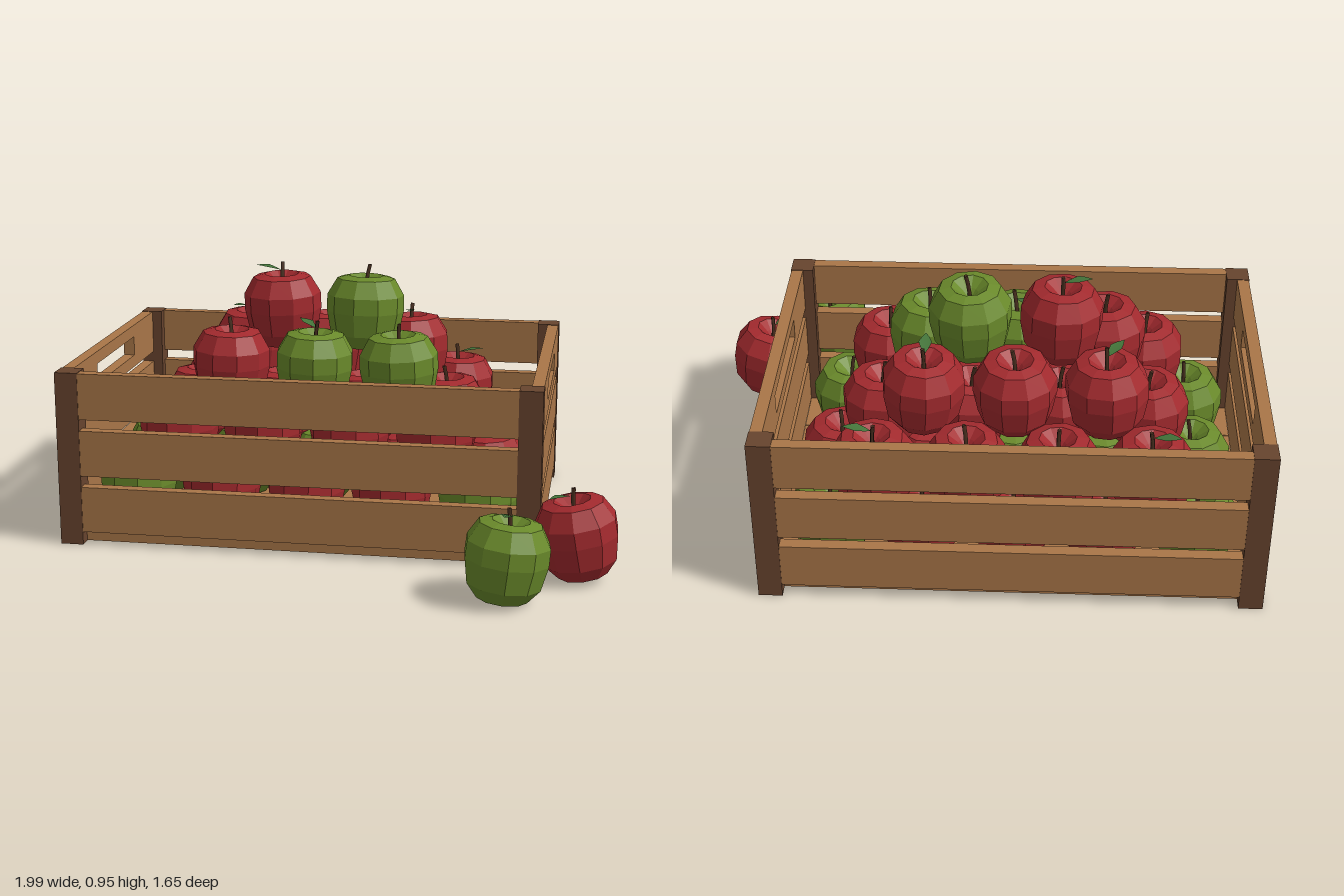
import * as THREE from 'three';

const mat = (name, color, extra = {}) => {
  const m = new THREE.MeshStandardMaterial({ color, ...extra });
  m.name = name;
  return m;
};

export function createModel() {
  const model = new THREE.Group();
  model.name = 'appleCrate';

  const wood = mat('wood', 0xa97648);
  const darkWood = mat('darkWood', 0x67442e);
  const red = mat('redSkin', 0xa32a2e, { flatShading: true });
  const green = mat('greenSkin', 0x6a8a2b, { flatShading: true });
  const stemBrown = mat('stemBrown', 0x4a3020);
  const leafGreen = mat('leafGreen', 0x44753a, { side: THREE.DoubleSide });

  let seed = 7;
  const rand = () => (seed = (seed * 16807) % 2147483647) / 2147483647;

  const add = (parent, name, geometry, material, x = 0, y = 0, z = 0) => {
    const mesh = new THREE.Mesh(geometry, material);
    mesh.name = name;
    mesh.position.set(x, y, z);
    parent.add(mesh);
    return mesh;
  };

  // Crate, centred on its own footprint
  const W = 1.725, D = 1.195, H = 0.637, post = 0.083, t = 0.043;
  const slatH = 0.168, pitch = 0.2095, slatY = 0.132;
  const crate = new THREE.Group();
  crate.name = 'crate';
  crate.position.set(-0.1375, 0, -0.2275);
  model.add(crate);

  // Corner posts
  for (const sx of [-1, 1]) for (const sz of [-1, 1]) {
    add(crate, 'cornerPost', new THREE.BoxGeometry(post, H, post), darkWood,
      sx * (W - post) / 2, H / 2, sz * (D - post) / 2);
  }

  // Top side slat with a hand hole
  const handleSlat = () => {
    const w = D - 2 * post, hw = 0.24, hh = 0.0375;
    const s = new THREE.Shape();
    s.moveTo(-w / 2, -slatH / 2).lineTo(w / 2, -slatH / 2).lineTo(w / 2, slatH / 2).lineTo(-w / 2, slatH / 2);
    const h = new THREE.Path();
    h.moveTo(-hw, -hh).lineTo(-hw, hh).lineTo(hw, hh).lineTo(hw, -hh);
    s.holes.push(h);
    return new THREE.ExtrudeGeometry(s, { depth: t, bevelEnabled: false })
      .translate(0, -0.015, -t / 2).translate(0, 0.015, 0).rotateY(Math.PI / 2);
  };

  // Wall slats
  for (let i = 0; i < 3; i++) {
    const y = slatY + i * pitch;
    for (const s of [-1, 1]) {
      add(crate, s > 0 ? 'frontSlat' : 'backSlat', new THREE.BoxGeometry(W - 2 * post, slatH, t), wood,
        0, y, s * (D / 2 - t / 2 - 0.002));
      add(crate, 'sideSlat', i === 2 ? handleSlat() : new THREE.BoxGeometry(t, slatH, D - 2 * post), wood,
        s * (W / 2 - t / 2 - 0.002), y, 0);
    }
  }

  // Floor boards
  const board = (D - 0.09) / 5;
  for (let i = -2; i <= 2; i++) {
    add(crate, 'floorBoard', new THREE.BoxGeometry(W - 0.09, 0.045, board - 0.004), wood, 0, 0.024, i * board);
  }

  // Shared apple geometry
  const profile = [[0, -0.105], [0.05, -0.122], [0.088, -0.135], [0.128, -0.085], [0.145, 0], [0.144, 0.06],
    [0.108, 0.122], [0.065, 0.133], [0.028, 0.105], [0, 0.075]].map(([x, y]) => new THREE.Vector2(x, y));
  const bodyGeo = new THREE.LatheGeometry(profile, 10);
  const stemGeo = new THREE.TubeGeometry(new THREE.QuadraticBezierCurve3(
    new THREE.Vector3(0, 0.07, 0), new THREE.Vector3(0, 0.13, 0), new THREE.Vector3(0.012, 0.175, 0.004)), 3, 0.0075, 5);
  const stemTip = new THREE.CircleGeometry(0.0075, 5).rotateX(-Math.PI / 2).translate(0.012, 0.174, 0.004);

  // Leaf: flat outline curled along its length
  const outline = [[0, 0], [0.022, 0.012], [0.05, 0.023], [0.075, 0.014], [0.1, 0],
    [0.075, -0.014], [0.05, -0.023], [0.022, -0.012]].map(([x, y]) => new THREE.Vector2(x, y));
  const leafGeo = new THREE.ShapeGeometry(new THREE.Shape(outline)).rotateX(-Math.PI / 2);
  const lp = leafGeo.attributes.position;
  for (let i = 0; i < lp.count; i++) {
    lp.setY(i, 0.2 * lp.getX(i) + 0.3 * Math.abs(lp.getZ(i)));
  }
  leafGeo.computeVertexNormals();

  // leaf is an optional [dx, dz] direction
  const apple = (x, y, z, skin, leaf, tiltX = 0, tiltZ = 0) => {
    const g = new THREE.Group();
    g.name = skin === red ? 'redApple' : 'greenApple';
    g.position.set(x, y, z);
    g.rotation.set(tiltX, 0, tiltZ);
    model.add(g);
    const turn = rand() * Math.PI * 2;
    add(g, 'appleBody', bodyGeo, skin).rotation.y = turn;
    add(g, 'stem', stemGeo, stemBrown).rotation.y = turn;
    add(g, 'stemTip', stemTip, stemBrown).rotation.y = turn;
    if (leaf) add(g, 'leaf', leafGeo, leafGreen, 0, 0.145, 0).rotation.y = Math.atan2(-leaf[1], leaf[0]);
  };
  const R = red, G = green;

  // Rows of apples in each layer, back to front
  const layer = (y, x0, z0, rows, leaves = {}) => rows.forEach((row, j) => row.forEach((skin, i) => {
    apple(x0 + i * 0.315, y, z0 + j * 0.365, skin, leaves[`${j},${i}`],
      (rand() - 0.5) * 0.08, (rand() - 0.5) * 0.08);
  }));
  layer(0.185, -0.77, -0.6, [[G, R, R, R, G], [G, G, G, R, R], [G, R, R, R, G]]);
  layer(0.4, -0.61, -0.6, [[R, R, R, R], [R, R, R, R], [R, R, R, R]],
    { '0,0': [-3, -1], '0,3': [1, 0], '2,1': [-4, -1] });
  layer(0.595, -0.455, -0.415, [[R, R, R], [R, G, G]],
    { '0,0': [-3, 4], '0,2': [0, 1], '1,1': [-1, -1] });
  layer(0.775, -0.295, -0.235, [[R, G]], { '0,0': [-1, 0] });

  // Loose apples beside the crate
  apple(0.855, 0.152, 0.428, R, [-4, 4], 0.03, 0.17);
  apple(0.632, 0.146, 0.678, G, [-1, 5], -0.05, -0.1);

  return model;
}
